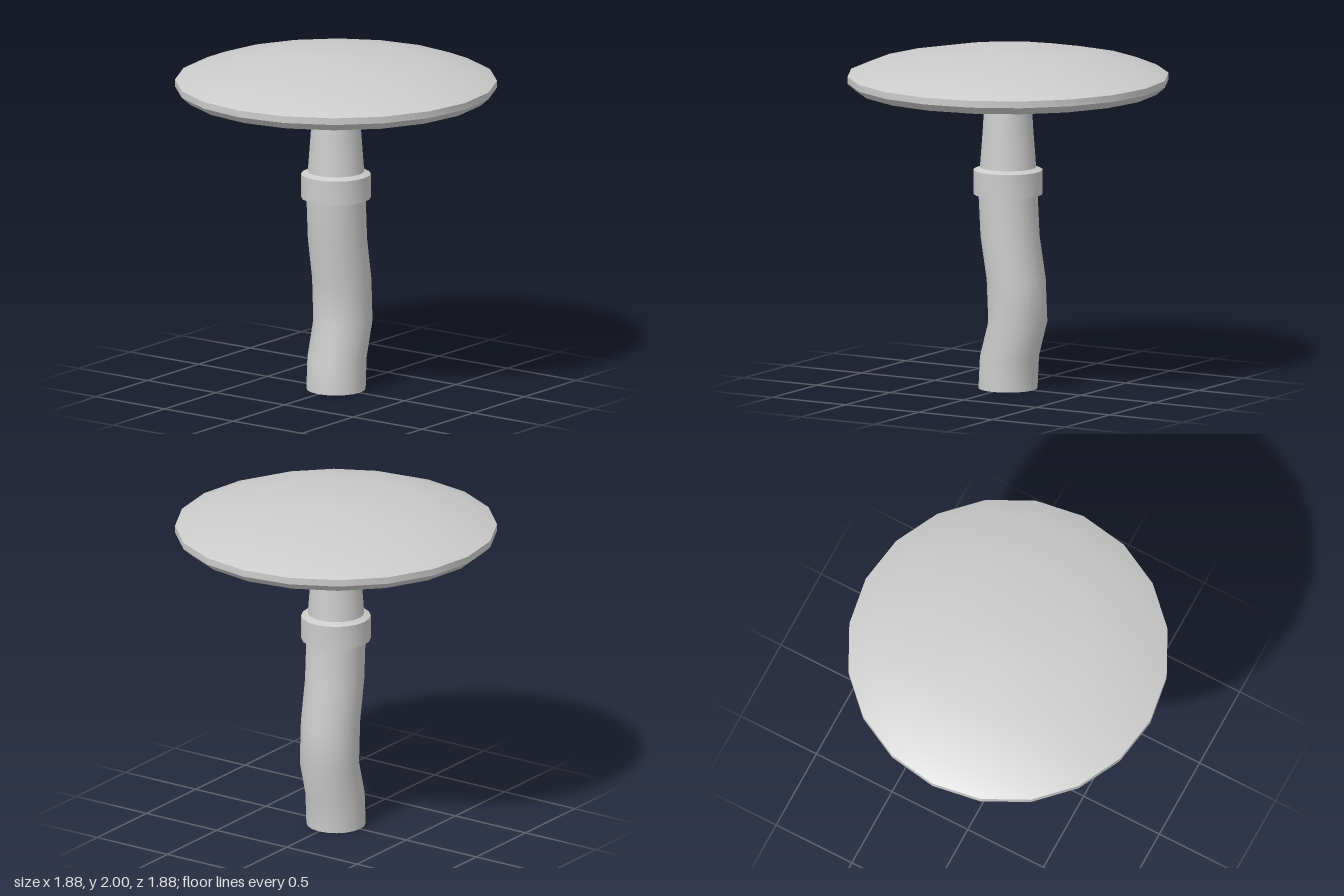
import * as THREE from 'three';
import { toCreasedNormals } from 'three/addons/utils/BufferGeometryUtils.js';

const material = new THREE.MeshStandardMaterial({ color: 0xcccccc });

// Turned part from rows of [radius, y, sideways shift], listed bottom to top
function turned(name, rows, sides) {
  const points = rows.map(([r, y]) => new THREE.Vector2(r, y));
  const geometry = new THREE.LatheGeometry(points, sides);
  const pos = geometry.attributes.position;
  for (let i = 0; i < pos.count; i++) {
    pos.setX(i, pos.getX(i) + (rows[i % rows.length][2] ?? 0));
  }
  const mesh = new THREE.Mesh(toCreasedNormals(geometry, 0.6), material);
  mesh.name = name;
  return mesh;
}

export function createModel() {
  const group = new THREE.Group();
  group.name = 'mushroom';

  // Bent lower stem, closed at the base
  group.add(turned('lowerStem', [
    [0, 0],
    [0.173, 0],
    [0.173, 0.19, 0.01],
    [0.173, 0.4, 0.067],
    [0.173, 0.65, 0.056],
    [0.173, 0.9, 0.014],
    [0.173, 1.16],
  ], 20));

  // Ring around the stem, with a slightly sloped top
  group.add(turned('collar', [
    [0.165, 1.15],
    [0.203, 1.15],
    [0.203, 1.292],
    [0.16, 1.31],
  ], 20));

  // Tapering neck up to the cap
  group.add(turned('upperStem', [
    [0.166, 1.29],
    [0.148, 1.53],
    [0.133, 1.78],
  ], 20));

  // Wide shallow cap with a straight rim and bevelled underside
  group.add(turned('cap', [
    [0, 1.758],
    [0.58, 1.762],
    [0.89, 1.768],
    [0.94, 1.812],
    [0.94, 1.852],
    [0.81, 1.905],
    [0.5, 1.966],
    [0.11, 2],
    [0, 2],
  ], 20));

  return group;
}
